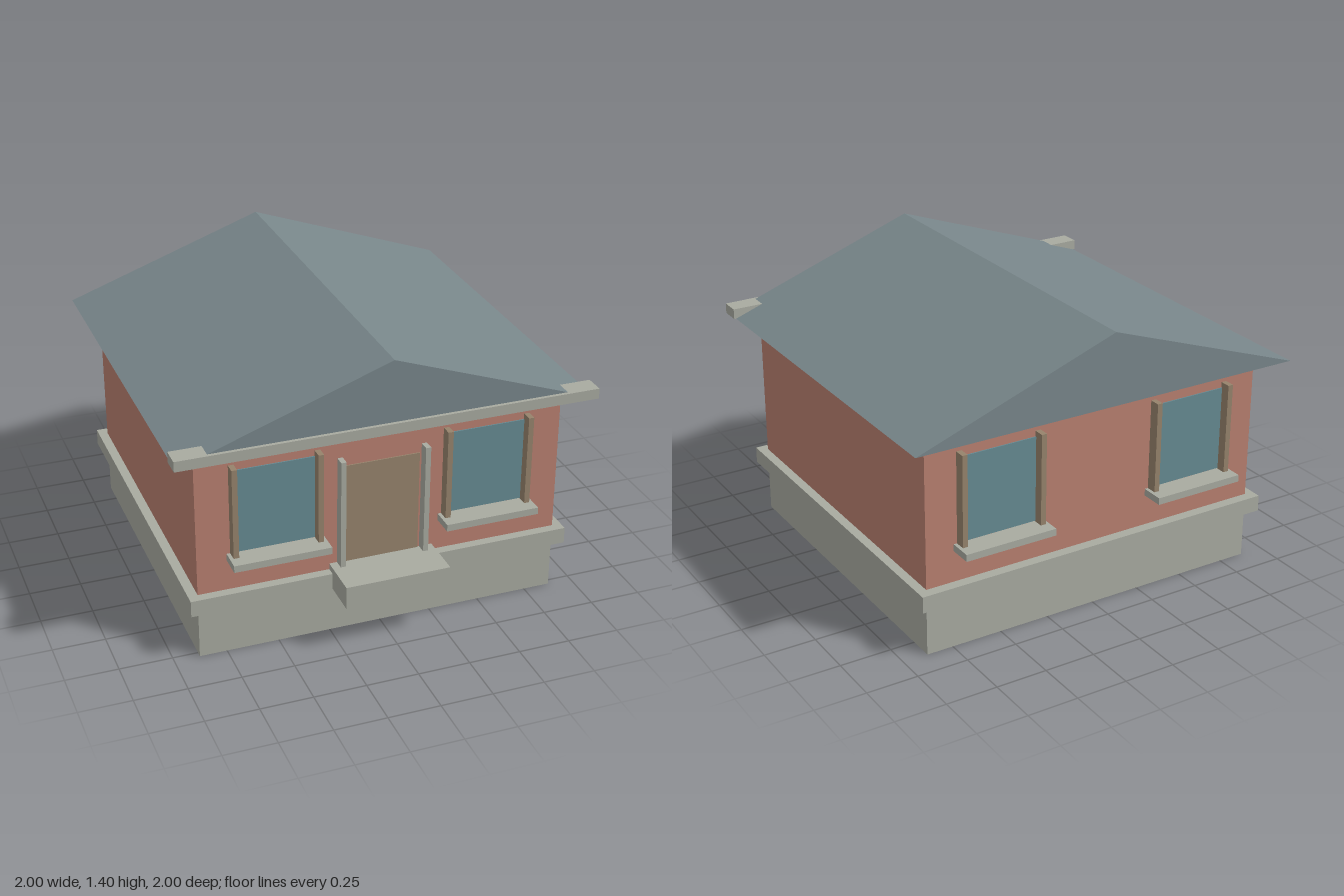
import * as THREE from 'three';

const mat = (color) => new THREE.MeshStandardMaterial({ color, flatShading: true });

export function createModel() {
  const house = new THREE.Group();
  house.name = 'house';
  const stone = mat(0xa8aaa0), brick = mat(0xb87f70), slate = mat(0x78868a);
  const glass = mat(0x668a92), wood = mat(0x96836c);

  // Box given by its min and max on each axis
  function box(name, material, [x0, x1], [y0, y1], [z0, z1], parent = house) {
    const mesh = new THREE.Mesh(new THREE.BoxGeometry(x1 - x0, y1 - y0, z1 - z0), material);
    mesh.position.set((x0 + x1) / 2, (y0 + y1) / 2, (z0 + z1) / 2);
    mesh.name = name;
    parent.add(mesh);
    return mesh;
  }

  // Foundation, ledge and walls
  box('foundation', stone, [-0.88, 0.88], [0, 0.25], [-0.87, 0.78]);
  box('ledge', stone, [-0.925, 0.925], [0.25, 0.33], [-0.92, 0.825]);
  box('walls', brick, [-0.88, 0.88], [0.33, 1.05], [-0.87, 0.78]);

  // Solid gable roof, running front to back
  const gable = new THREE.Shape([
    new THREE.Vector2(-0.99, 1.05),
    new THREE.Vector2(0.99, 1.05),
    new THREE.Vector2(0, 1.4),
  ]);
  const roof = new THREE.Mesh(
    new THREE.ExtrudeGeometry(gable, { depth: 1.9, bevelEnabled: false }), slate);
  roof.position.z = -1;
  roof.name = 'roof';
  house.add(roof);

  // Beam under the front gable
  box('frontBeam', stone, [-1, 1], [1.05, 1.1], [0.82, 0.917]);

  // Entrance: step, door and side posts
  box('doorStep', stone, [-0.253, 0.253], [0.25, 0.36], [0.76, 1]);
  box('door', wood, [-0.18, 0.18], [0.36, 0.857], [0.76, 0.786]);
  for (const side of [-1, 1]) {
    const x = side * 0.203;
    box('doorPost', stone, [x - 0.0125, x + 0.0125], [0.36, 0.9], [0.76, 0.83]);
  }

  // Window with pane, two jambs and a sill; z = 0 is the wall face
  function addWindow(x, z, turn) {
    const win = new THREE.Group();
    win.name = 'window';
    box('pane', glass, [-0.187, 0.187], [0.52, 0.933], [-0.02, 0.006], win);
    for (const side of [-1, 1]) {
      const jx = side * 0.2;
      box('jamb', wood, [jx - 0.013, jx + 0.013], [0.515, 0.96], [-0.02, 0.052], win);
    }
    box('sill', stone, [-0.23, 0.23], [0.482, 0.516], [-0.02, 0.112], win);
    win.position.set(x, 0, z);
    win.rotation.y = turn;
    house.add(win);
  }
  for (const x of [-0.51, 0.51]) {
    addWindow(x, 0.78, 0);
    addWindow(x, -0.87, Math.PI);
  }

  return house;
}
